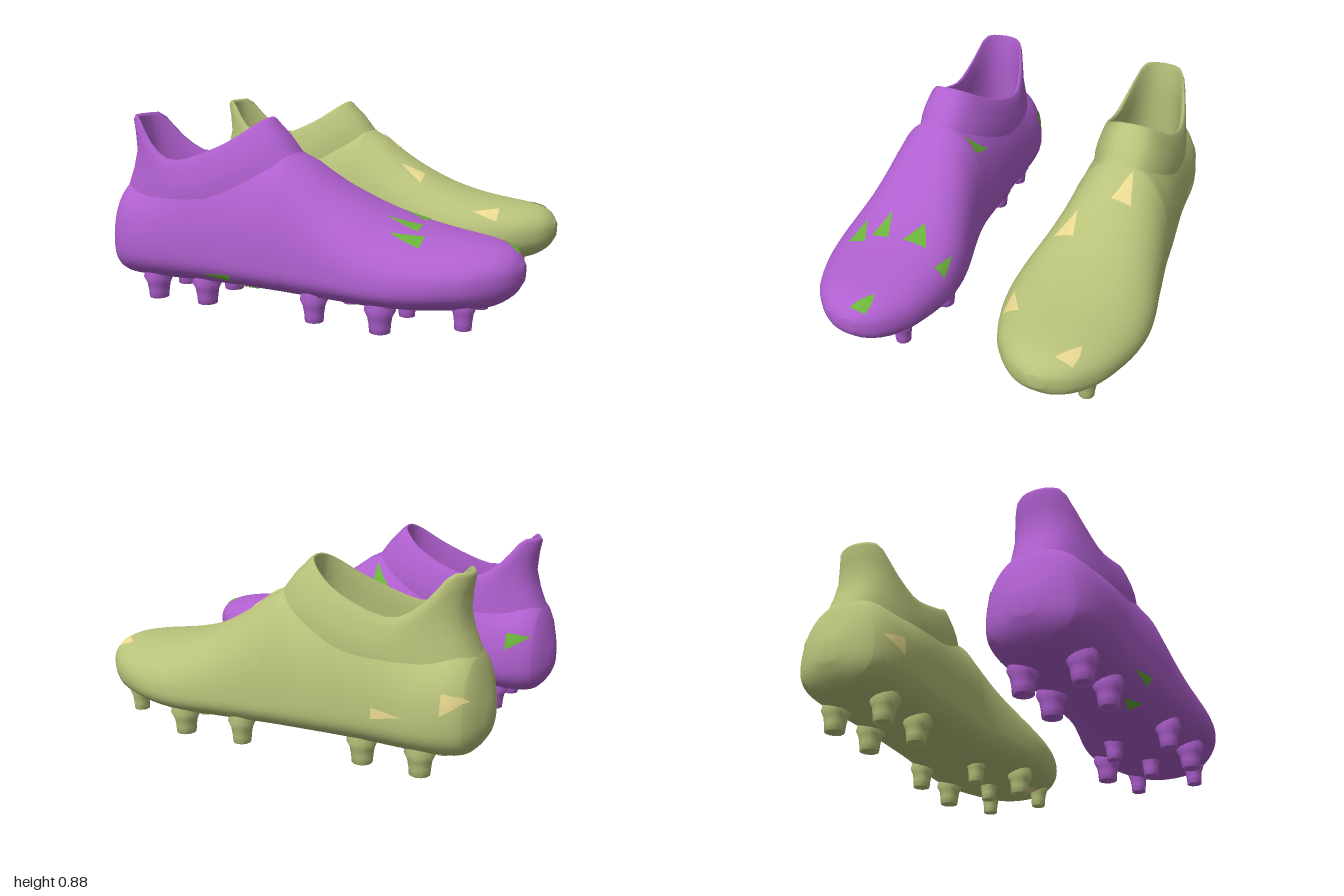
import * as THREE from 'three';
import { mergeVertices } from 'three/addons/utils/BufferGeometryUtils.js';

// Smooth curve through [x, value] points
function curve(pts) {
  const n = pts.length;
  const slope = (i) => {
    const a = pts[Math.max(i - 1, 0)], b = pts[Math.min(i + 1, n - 1)];
    return (b[1] - a[1]) / (b[0] - a[0]);
  };
  return (x) => {
    let i = 0;
    while (i < n - 2 && x > pts[i + 1][0]) i++;
    const [x0, y0] = pts[i], [x1, y1] = pts[i + 1], h = x1 - x0;
    const t = THREE.MathUtils.clamp((x - x0) / h, 0, 1), s = 1 - t;
    return y0 * (1 + 2 * t) * s * s + y1 * (3 - 2 * t) * t * t + h * t * s * (slope(i) * s - slope(i + 1) * t);
  };
}

// Shoe profile along its length: half width, underside, widest height, top, sideways bend, inward lean of the crest
const halfWidth = curve([[-0.99, 0.05], [-0.97, 0.12], [-0.94, 0.18], [-0.88, 0.225], [-0.8, 0.25], [-0.7, 0.26],
  [-0.5, 0.256], [-0.2, 0.264], [0, 0.27], [0.2, 0.3], [0.42, 0.335], [0.6, 0.325], [0.8, 0.26], [0.9, 0.19], [0.96, 0.12], [0.99, 0.04]]);
const underside = curve([[-0.99, 0.21], [-0.96, 0.145], [-0.91, 0.1], [-0.8, 0.09], [-0.2, 0.095], [0.4, 0.085],
  [0.75, 0.095], [0.88, 0.115], [0.96, 0.165], [0.99, 0.215]]);
const widest = curve([[-0.99, 0.26], [-0.5, 0.25], [0.1, 0.23], [0.5, 0.215], [0.99, 0.26]]);
const topLine = curve([[-0.99, 0.32], [-0.97, 0.4], [-0.93, 0.52], [-0.75, 0.5], [-0.45, 0.51], [-0.35, 0.535], [-0.2, 0.61],
  [-0.1, 0.67], [-0.03, 0.72], [0.1, 0.64], [0.2, 0.575], [0.4, 0.475], [0.6, 0.415], [0.88, 0.37], [0.95, 0.34], [0.99, 0.29]]);
const bend = curve([[-0.99, -0.005], [-0.5, 0], [0, 0.02], [0.3, 0.008], [0.6, -0.005], [0.99, -0.02]]);
const lean = curve([[-0.03, 0], [0.2, 0.02], [0.45, 0.04], [0.7, 0.035], [0.99, 0]]);
const rimLine = curve([[-0.87, 0.865], [-0.82, 0.86], [-0.74, 0.76], [-0.65, 0.69], [-0.58, 0.675],
  [-0.45, 0.71], [-0.3, 0.78], [-0.17, 0.875]]);

const oval = (s) => Math.sign(s) * Math.pow(Math.abs(s), 0.8);
const collarHalf = (x) => {
  const c = (x + 0.48) / 0.45;
  return Math.abs(c) >= 1 ? 0 : 0.22 * oval(Math.sqrt(1 - c * c));
};

// Point on the shoe skin; u runs 0 (sole centre) to 1 (widest) to 2 (top edge), sign gives the side.
// The upper arc stops where it meets the collar line.
function skin(x, u, side, grow = 0) {
  const v = Math.abs(u), w = halfWidth(x) + grow, m = widest(x);
  const p = v < 1 ? 2 / 2.4 : 2 / 2.2;
  const end = Math.acos(Math.pow(collarHalf(x) / w, 1 / p));
  const a = v < 1 ? (1 - v) * Math.PI / 2 : (v - 1) * end;
  const z = w * Math.pow(Math.max(Math.cos(a), 0), p), s = Math.pow(Math.sin(a), p);
  const y = v < 1 ? m + (underside(x) - grow - m) * s
    : m + (topLine(x) + grow - m) * s / Math.pow(Math.sin(end), p);
  const shift = v < 1 ? bend(x) : bend(x) - lean(x) * s * s;
  return [x, y, shift * side + Math.sign(u) * z];
}

// Surface through rows of points, optionally wrapping each row into a loop
function loft(rows, loop = false) {
  const n = rows[0].length, index = [];
  for (let i = 0; i < rows.length - 1; i++) {
    for (let j = 0; j < (loop ? n : n - 1); j++) {
      const k = (j + 1) % n;
      const a = i * n + j, b = a + n, c = i * n + k, d = c + n;
      index.push(a, b, c, b, d, c);
    }
  }
  let g = new THREE.BufferGeometry();
  g.setAttribute('position', new THREE.Float32BufferAttribute(rows.flat(2), 3));
  g.setIndex(index);
  g = mergeVertices(g, 1e-5);
  g.computeVertexNormals();
  return g;
}

const HALF = 20; // steps along the collar opening

function bodyGeometry(side) {
  const xs = [-0.99, -0.985, -0.97, -0.95];
  for (let i = 0; i <= HALF; i++) xs.push(-0.48 - 0.45 * Math.cos(Math.PI * i / HALF));
  for (let i = 1; i <= 24; i++) xs.push(-0.03 + 1.02 * Math.sin(Math.PI / 2 * i / 24));
  const rows = xs.map((x) => Array.from({ length: 49 }, (_, j) => skin(x, (j - 24) / 12, side)));
  // close the heel and toe
  const cap = (row, x) => row.map(() => [x, (row[24][1] + row[0][1]) / 2, bend(x) * side]);
  return loft([cap(rows[0], -0.995), ...rows, cap(rows[rows.length - 1], 0.995)]);
}

// Oval loops stacked into a surface; each level is back x, front x, half width and height rule
function ringGeometry(levels, side) {
  return loft(levels.map(([x0, x1, w, rule]) => Array.from({ length: 2 * HALF }, (_, j) => {
    const a = Math.PI * j / HALF, c = Math.cos(a);
    const x = (x0 + x1) / 2 + (x1 - x0) / 2 * c;
    return [x, rule(topLine(-0.48 + 0.45 * c), rimLine(-0.52 + 0.35 * c)), bend(x) * side + w * oval(Math.sin(a))];
  })), true);
}

const mix = (t) => (lo, hi) => lo + (hi - lo) * t;
const at = (y) => () => y;

// Up the outside, over the rim and down the lining
const COLLAR = [
  [-0.93, -0.03, 0.22, mix(0)], [-0.895, -0.06, 0.22, mix(0.25)], [-0.873, -0.09, 0.212, mix(0.5)],
  [-0.88, -0.13, 0.2, mix(0.75)], [-0.892, -0.157, 0.187, mix(0.94)], [-0.882, -0.17, 0.175, mix(1)],
  [-0.867, -0.18, 0.162, mix(0.95)], [-0.855, -0.17, 0.172, mix(0.5)], [-0.87, -0.13, 0.19, at(0.42)],
  [-0.88, -0.1, 0.19, at(0.2)],
];
const INSOLE = [[-0.88, -0.1, 0.19, at(0.2)], [-0.48, -0.48, 0, at(0.2)]];

// Small triangular fleck that follows the skin
function fleckGeometry([x, u, length, spread], side) {
  const rows = [];
  for (let i = 0; i <= 4; i++) {
    rows.push(Array.from({ length: 5 }, (_, j) =>
      skin(x + length * i / 4, u + spread * (j / 4 - 0.5) * i / 4, side, 0.004)));
  }
  return loft(rows);
}

function shoe(name, side, color, fleckColor, flecks) {
  const group = new THREE.Group();
  group.name = name;
  const main = new THREE.MeshStandardMaterial({ color, side: THREE.DoubleSide });
  const accent = new THREE.MeshStandardMaterial({ color: fleckColor, side: THREE.DoubleSide });
  const add = (part, geometry, material) => {
    const mesh = new THREE.Mesh(geometry, material);
    mesh.name = part;
    group.add(mesh);
    return mesh;
  };
  add('body', bodyGeometry(side), main);
  add('collar', ringGeometry(COLLAR, side), main);
  add('insole', ringGeometry(INSOLE, side), main);
  flecks.forEach((f) => add('fleck', fleckGeometry(f, side), accent));

  // Studs: flared at the sole, flat tipped; x, outward offset, size, tip height
  const profile = [[0, 0.01], [0.03, 0.01], [0.034, 0], [0.046, 0], [0.049, 0.035], [0.055, 0.07], [0.07, 0.1], [0.06, 0.15]];
  const stud = new THREE.LatheGeometry(profile.map(([r, y]) => new THREE.Vector2(r, y)), 12);
  const spots = [
    [-0.73, 0.13, 1, 0], [-0.73, -0.13, 1, 0], [-0.46, 0.13, 1, 0], [-0.46, -0.13, 1, 0],
    [0.12, 0.19, 0.9, 0.005], [0.18, -0.1, 0.8, 0.01], [0.43, 0.22, 1, 0], [0.43, -0.22, 1, 0], [0.48, 0, 0.8, 0.01],
    [0.77, 0.155, 0.8, 0.03], [0.77, -0.155, 0.8, 0.03],
  ];
  for (const [x, z, size, y] of spots) {
    const mesh = add('stud', stud, main);
    mesh.position.set(x, y, (z + bend(x)) * side);
    mesh.scale.set(size, 1, size);
  }

  group.position.z = 0.47 * side;
  return group;
}

export function createModel() {
  const model = new THREE.Group();
  model.name = 'footballBoots';
  // flecks: x, height around the section, length, spread
  model.add(shoe('leftHandBoot', 1, 0xb060d0, 0x6cb43c, [
    [0.45, 1.63, 0.14, 0.2], [0.4, 1.85, 0.15, 0.16], [0.42, -1.84, 0.12, 0.24], [0.48, -1.4, 0.12, 0.22],
    [0.87, -1.8, 0.09, 0.4], [-0.43, 0.72, 0.16, 0.18], [0.07, 0.5, 0.1, 0.2], [0.38, 0.5, 0.1, 0.18],
    [-0.17, -1.75, 0.11, 0.25], [-0.92, -1.4, 0.11, 0.3], [-0.3, 0.3, 0.12, 0.2],
  ]));
  model.add(shoe('rightHandBoot', -1, 0xb8c27a, 0xe8d890, [
    [-0.02, -1.88, 0.14, 0.2], [0.18, 1.76, 0.13, 0.22], [0.82, -1.6, 0.1, 0.35], [0.61, 1.5, 0.12, 0.3],
    [-0.95, -1.3, 0.1, 0.3], [-0.9, 1.2, 0.12, 0.3], [-0.7, -1.1, 0.14, 0.16], [0.6, 0.3, 0.12, 0.2],
  ]));
  return model;
}
